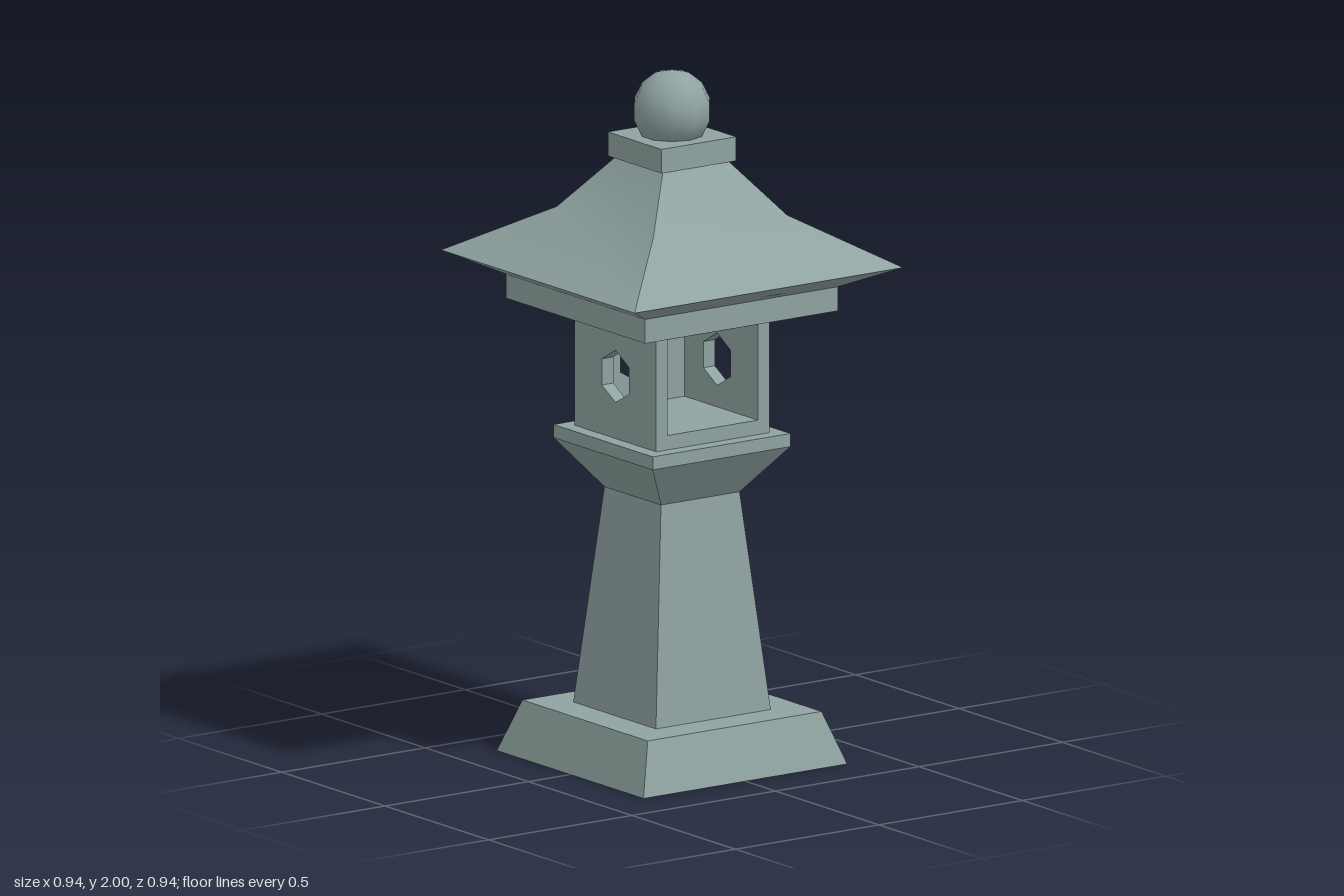
import * as THREE from 'three';
import { toCreasedNormals } from 'three/addons/utils/BufferGeometryUtils.js';

const stone = new THREE.MeshStandardMaterial({ color: 0x8fa3a1, side: THREE.DoubleSide });
stone.name = 'weathered stone';

// Square solid from a profile of [half width, height] points, bottom to top
function squareTurned(name, profile) {
  const points = profile.map(([half, y]) => new THREE.Vector2(half * Math.SQRT2, y));
  const geometry = new THREE.LatheGeometry(points, 4, Math.PI / 4);
  const mesh = new THREE.Mesh(toCreasedNormals(geometry, Math.PI / 6), stone);
  mesh.name = name;
  return mesh;
}

// Upright wall slab with a pointed hexagonal window in its centre
function windowWall(name, width, height, thickness) {
  const w = width / 2, h = height / 2;
  const shape = new THREE.Shape([
    new THREE.Vector2(-w, -h), new THREE.Vector2(w, -h),
    new THREE.Vector2(w, h), new THREE.Vector2(-w, h),
  ]);
  const corners = [];
  for (let i = 0; i < 6; i++) {
    const a = Math.PI / 2 - i * Math.PI / 3;
    corners.push(new THREE.Vector2(0.076 * Math.cos(a), 0.076 * Math.sin(a)));
  }
  shape.holes.push(new THREE.Path(corners).closePath());
  const geometry = new THREE.ExtrudeGeometry(shape, { depth: thickness, bevelEnabled: false });
  geometry.translate(0, 0, -thickness / 2);
  const mesh = new THREE.Mesh(geometry, stone);
  mesh.name = name;
  return mesh;
}

export function createModel() {
  const lantern = new THREE.Group();
  lantern.name = 'stoneLantern';

  // Hollow plinth and tapering post, open underneath, with a flared collar
  lantern.add(squareTurned('pedestal', [
    [0.355, 0], [0.303, 0.15], [0.2, 0.15], [0.137, 0.78],
    [0.24, 0.917], [0.24, 0.955], [0, 0.955],
  ]));

  // Light chamber: three windowed walls, open at the front
  const bottom = 0.955, top = 1.317, half = 0.197, wall = 0.04;
  const height = top - bottom, middle = (top + bottom) / 2;
  const inner = half - wall;
  const chamber = new THREE.Group();
  chamber.name = 'lightChamber';
  for (const side of [-1, 1]) {
    const mesh = windowWall(side > 0 ? 'leftWall' : 'rightWall', 2 * half, height, wall);
    mesh.rotation.y = side * Math.PI / 2;
    mesh.position.set(side * (half - wall / 2), middle, 0);
    chamber.add(mesh);
  }
  const back = windowWall('backWall', 2 * inner, height, wall);
  back.position.set(0, middle, -half + wall / 2);
  chamber.add(back);

  // Floor and ceiling slabs reach the front and frame the opening
  for (const [name, y] of [['chamberFloor', bottom + 0.021], ['chamberCeiling', top - 0.021]]) {
    const slab = new THREE.Mesh(new THREE.BoxGeometry(2 * inner, 0.042, 2 * half - wall), stone);
    slab.name = name;
    slab.position.set(0, y, wall / 2);
    chamber.add(slab);
  }
  lantern.add(chamber);

  // Eaves plate, swept roof and cap
  lantern.add(squareTurned('eavesPlate', [[0, 1.317], [0.336, 1.317], [0.336, 1.387], [0, 1.387]]));
  lantern.add(squareTurned('roof', [
    [0, 1.387], [0.336, 1.387], [0.468, 1.45], [0.233, 1.59], [0.113, 1.742], [0, 1.742],
  ]));
  lantern.add(squareTurned('roofCap', [[0, 1.742], [0.13, 1.742], [0.13, 1.812], [0, 1.812]]));

  // Ball finial
  const finial = new THREE.Mesh(new THREE.SphereGeometry(0.115, 10, 7), stone);
  finial.name = 'finial';
  finial.rotation.y = Math.PI / 2;
  finial.position.y = 1.885;
  lantern.add(finial);

  return lantern;
}
